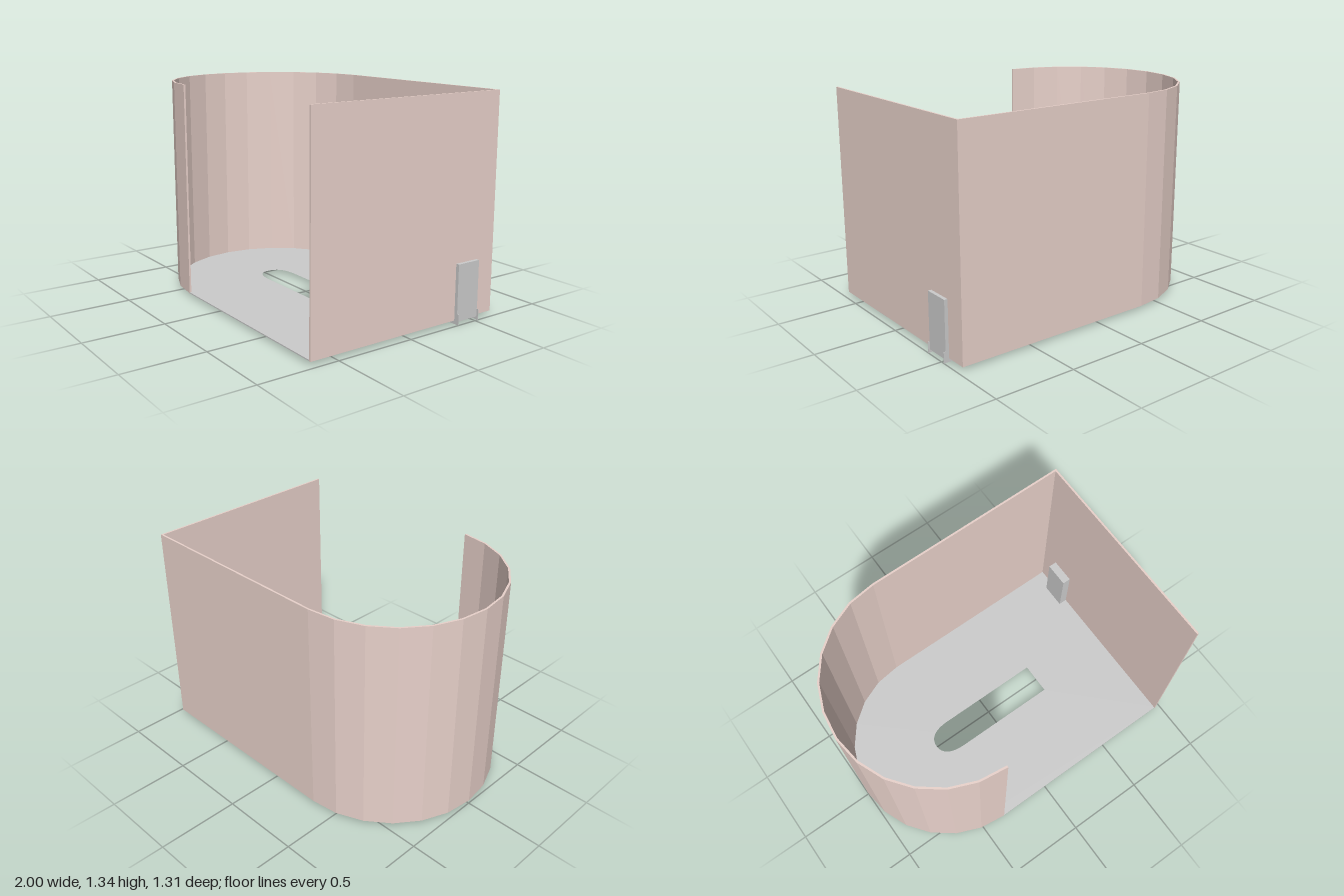
import * as THREE from 'three';

const R = 0.657, T = 0.012, CX = -0.343, END = 0.967;
const BASE = 0.02, TOP = 1.335;

// Points of the rounded end, from the front (shape y = -z) round to the back
function arc(radius, segments = 12) {
  const pts = [];
  for (let i = 0; i <= segments; i++) {
    const a = Math.PI * (1.5 - i / segments);
    pts.push(new THREE.Vector2(CX + radius * Math.cos(a), radius * Math.sin(a)));
  }
  return pts;
}

// Extrude a plan shape upwards from y0 to y1
function upright(name, shape, y0, y1, material) {
  const geo = new THREE.ExtrudeGeometry(shape, { depth: y1 - y0, bevelEnabled: false });
  geo.rotateX(-Math.PI / 2);
  geo.translate(0, y0, 0);
  const mesh = new THREE.Mesh(geo, material);
  mesh.name = name;
  return mesh;
}

function box(name, [x0, x1], [y0, y1], [z0, z1], material) {
  const mesh = new THREE.Mesh(new THREE.BoxGeometry(x1 - x0, y1 - y0, z1 - z0), material);
  mesh.position.set((x0 + x1) / 2, (y0 + y1) / 2, (z0 + z1) / 2);
  mesh.name = name;
  return mesh;
}

export function createModel() {
  const group = new THREE.Group();
  const grey = new THREE.MeshStandardMaterial({ color: 0xcccccc, flatShading: true });
  const clay = new THREE.MeshStandardMaterial({ color: 0xe8d1ca, flatShading: true });
  const v = (x, y) => new THREE.Vector2(x, y);

  // Wall: rounded end, long back and flat end, open along the front
  const wall = new THREE.Shape([
    ...arc(R), v(END, R), v(END, -R), v(END - T, -R), v(END - T, R - T),
    ...arc(R - T).reverse(),
  ]);
  group.add(upright('wall', wall, BASE + 0.001, TOP, clay));

  // Floor with a slot rounded at one end
  const floor = new THREE.Shape([...arc(R - 0.001), v(END - 0.001, R - 0.001), v(END - 0.001, -R + 0.001)]);
  const slot = new THREE.Path();
  slot.moveTo(0.41, -0.103);
  slot.lineTo(-0.29, -0.103);
  slot.bezierCurveTo(-0.38, -0.1, -0.44, -0.07, -0.44, 0);
  slot.bezierCurveTo(-0.44, 0.07, -0.38, 0.1, -0.29, 0.103);
  slot.lineTo(0.41, 0.103);
  slot.closePath();
  floor.holes.push(slot);
  group.add(upright('floor', floor, BASE, BASE + 0.007, grey));

  // Small door set through the flat end, with a thin foot at each side
  const door = new THREE.Group();
  door.name = 'door';
  door.add(box('doorPanel', [0.9, 0.988], [0.018, 0.362], [-0.525, -0.363], grey));
  for (const z of [-0.525, -0.366]) {
    door.add(box('doorFoot', [0.932, 1], [0, 0.065], [z, z + 0.003], grey));
  }
  group.add(door);

  return group;
}
